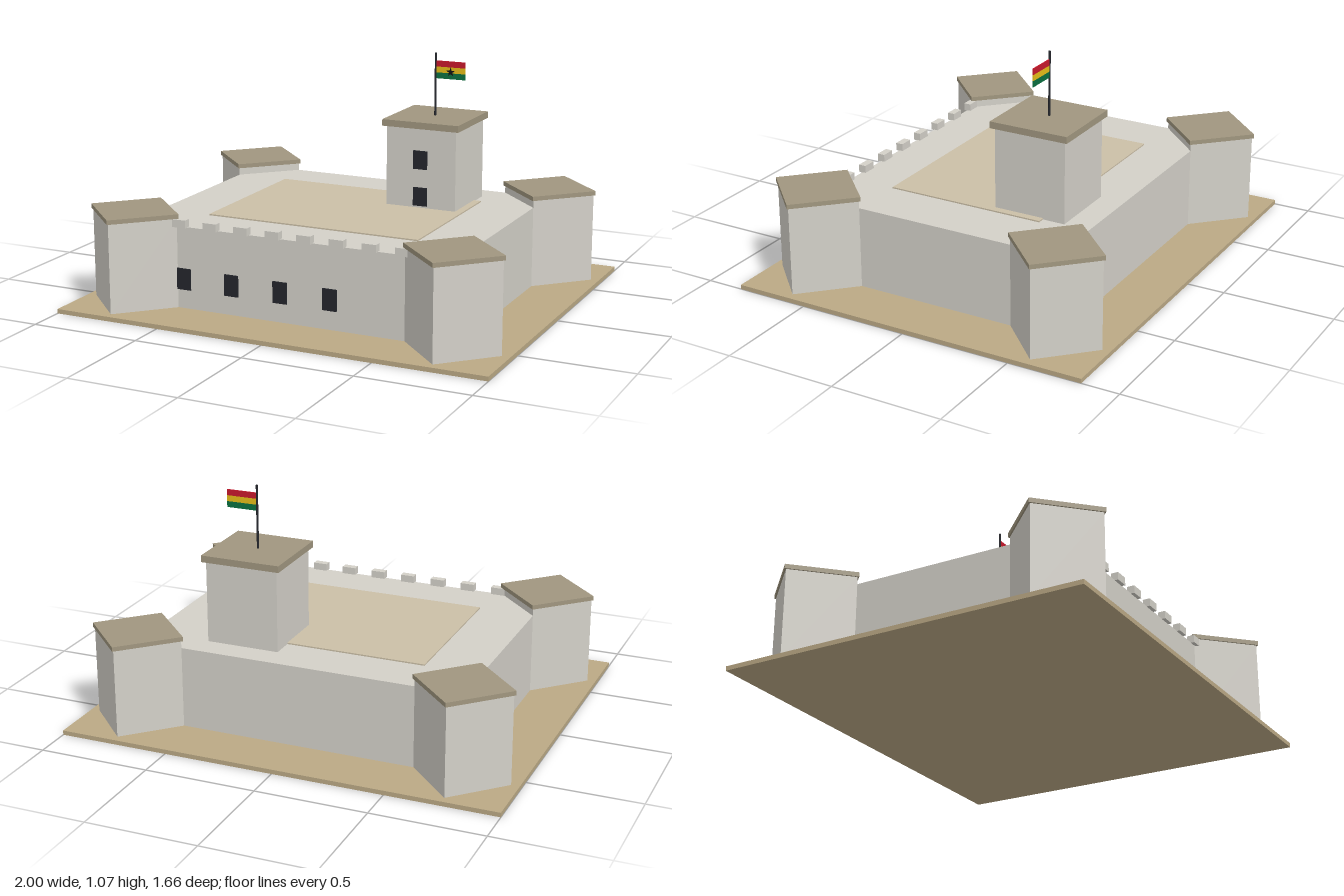
import * as THREE from 'three';

const mat = (color) => new THREE.MeshStandardMaterial({ color, flatShading: true });

export function createModel() {
  const root = new THREE.Group();
  root.name = 'fort';
  const wall = mat(0xd3d0c8), roof = mat(0xa0967f), sand = mat(0xbba985);
  const floor = mat(0xcbbfa7), dark = mat(0x24262c), black = mat(0x111111);

  const add = (name, geometry, material, x, y, z) => {
    const mesh = new THREE.Mesh(geometry, material);
    mesh.name = name;
    mesh.position.set(x, y, z);
    root.add(mesh);
    return mesh;
  };
  // Box placed by its bottom height and top height
  const block = (name, w, d, y0, y1, x, z, material) =>
    add(name, new THREE.BoxGeometry(w, y1 - y0, d), material, x, (y0 + y1) / 2, z);
  // Four-sided prism with its corners on the axes
  const diamond = (name, r, y0, y1, x, z, material) =>
    add(name, new THREE.CylinderGeometry(r, r, y1 - y0, 4), material, x, (y0 + y1) / 2, z);

  const hx = 0.75, hz = 0.583;

  // Ground, main block and courtyard
  block('ground', 2, 1.664, 0, 0.02, 0, 0, sand);
  block('mainWalls', hx * 2, hz * 2, 0.02, 0.387, 0, 0, wall);
  block('courtyard', 1, 0.73, 0.38, 0.393, 0, 0, floor);

  // Corner bastions
  for (const sx of [-1, 1]) for (const sz of [-1, 1]) {
    diamond('bastion', 0.213, 0.02, 0.42, sx * hx, sz * hz, wall);
    diamond('bastionRoof', 0.222, 0.42, 0.44, sx * hx, sz * hz, roof);
  }

  // Battlements along the front
  for (let i = 0; i < 8; i++)
    block('merlon', 0.065, 0.034, 0.385, 0.42, -0.518 + i * 0.15, hz, wall);

  // Front windows
  for (let i = 0; i < 4; i++)
    block('frontWindow', 0.066, 0.014, 0.105, 0.2, -0.505 + i * 0.2335, hz, dark);

  // Keep
  const kx = 0.3, kz = -0.3;
  block('keep', 0.332, 0.332, 0.385, 0.755, kx, kz, wall);
  block('keepRoof', 0.364, 0.364, 0.755, 0.785, kx, kz, roof);
  for (const y of [0.402, 0.57])
    block('keepWindow', 0.066, 0.012, y, y + 0.084, kx - 0.002, kz + 0.166, dark);

  // Flagpole and striped flag
  add('flagpole', new THREE.CylinderGeometry(0.005, 0.005, 0.285, 8), dark, kx - 0.002, 0.9275, kz);
  [0x0a7040, 0xe6bd18, 0xc8182c].forEach((color, i) => {
    const y = 0.955 + i * 0.0267;
    block('flagStripe', 0.138, 0.005, y, y + 0.0267, 0.371, kz, mat(color));
  });

  // Star on the front of the flag
  const star = new THREE.Shape();
  for (let i = 0; i < 10; i++) {
    const a = Math.PI / 2 + (i * Math.PI) / 5, r = i % 2 ? 0.0085 : 0.021;
    star[i ? 'lineTo' : 'moveTo'](r * Math.cos(a), r * Math.sin(a));
  }
  star.closePath();
  add('flagStar', new THREE.ExtrudeGeometry(star, { depth: 0.002, bevelEnabled: false }),
    black, 0.371, 0.987, kz + 0.002);

  return root;
}
